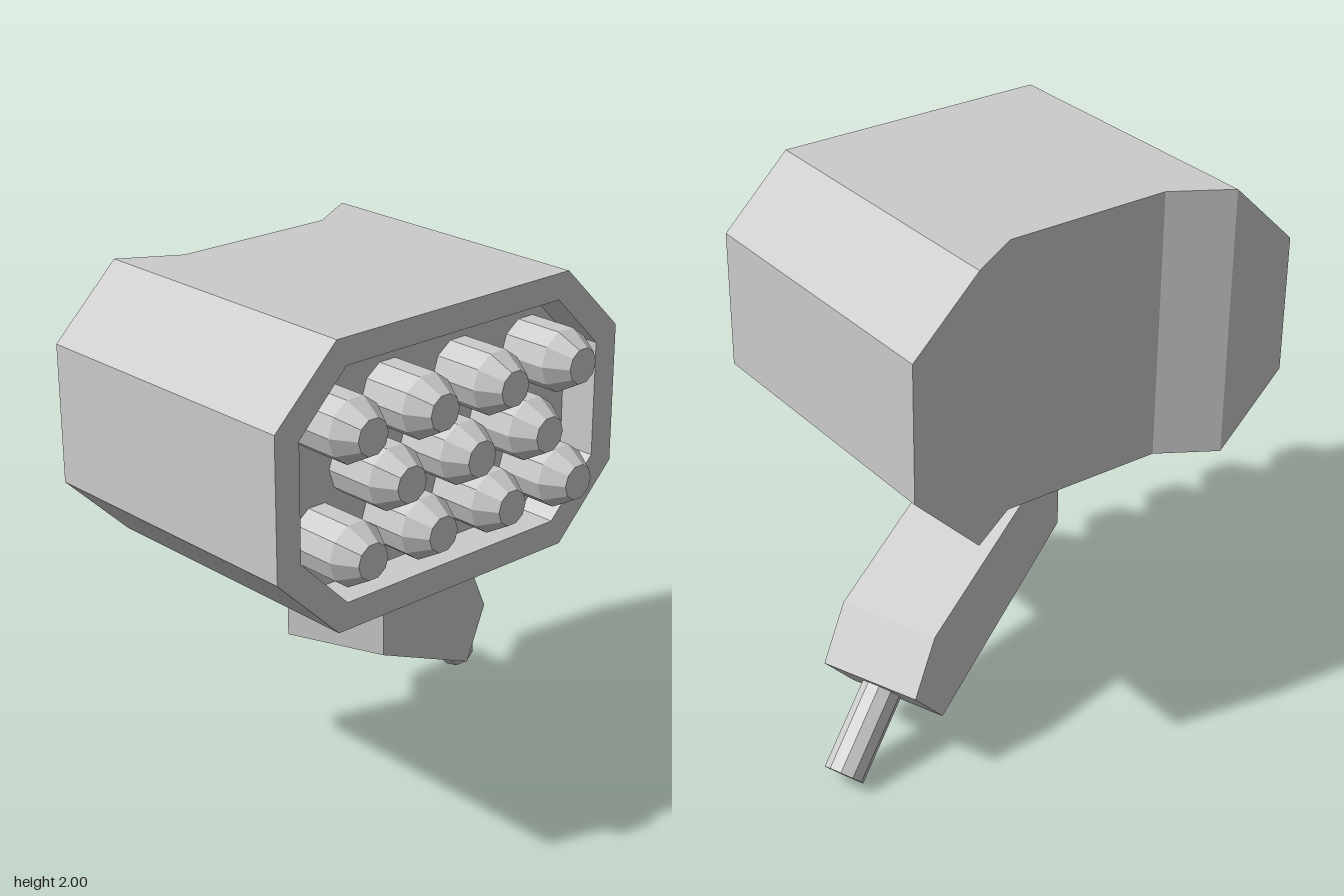
import * as THREE from 'three';

const material = new THREE.MeshStandardMaterial({ color: 0xcccccc, flatShading: true });

function add(parent, name, geometry, x = 0, y = 0, z = 0) {
  const mesh = new THREE.Mesh(geometry, material);
  mesh.name = name;
  mesh.position.set(x, y, z);
  parent.add(mesh);
  return mesh;
}

// Loop of six columns: along the top edge, then back along the bottom edge.
function ring(xs, [bottom, low, high, top], zs) {
  const end = (i) => i === 0 || i === 5;
  const upper = xs.map((x, i) => [x, end(i) ? high : top, zs[i]]);
  const lower = xs.map((x, i) => [x, end(i) ? low : bottom, zs[i]]);
  return [...upper, ...lower.reverse()];
}

// Chamfered housing with a recessed front and a notched back.
function housingGeometry(floorZ) {
  const outerX = [-0.9, -0.64, -0.43, 0.21, 0.42, 0.675];
  const innerX = [-0.8, -0.6, -0.43, 0.21, 0.375, 0.575];
  const outerY = [0.98, 1.235, 1.75, 2];
  const innerY = [1.08, 1.28, 1.705, 1.905];
  const level = (z) => Array(6).fill(z);
  const rings = [
    ring(innerX, innerY, level(floorZ)),
    ring(innerX, innerY, level(0.515)),
    ring(outerX, outerY, level(0.515)),
    ring(outerX, outerY, [-0.645, -0.645, -0.52, -0.52, -0.645, -0.645]),
  ];
  const positions = [];
  const quad = (a, b, c, d) => positions.push(...a, ...b, ...c, ...a, ...c, ...d);
  for (let r = 0; r < 3; r++) {
    for (let j = 0; j < 12; j++) {
      const k = (j + 1) % 12;
      quad(rings[r][j], rings[r][k], rings[r + 1][k], rings[r + 1][j]);
    }
  }
  // Recess floor and back face, in vertical strips
  const floor = rings[0], back = rings[3];
  for (let i = 0; i < 5; i++) {
    quad(floor[i], floor[11 - i], floor[10 - i], floor[i + 1]);
    quad(back[i], back[i + 1], back[10 - i], back[11 - i]);
  }
  const geometry = new THREE.BufferGeometry();
  geometry.setAttribute('position', new THREE.Float32BufferAttribute(positions, 3));
  geometry.computeVertexNormals();
  return geometry;
}

export function createModel() {
  const model = new THREE.Group();
  model.name = 'launcherPod';

  const floorZ = 0.365;
  add(model, 'housing', housingGeometry(floorZ));

  // Tapered tips in three staggered rows
  const profile = [[0.115, floorZ], [0.115, 0.555], [0.065, 0.64], [0, 0.64]]
    .map(([r, z]) => new THREE.Vector2(r, z));
  const tip = new THREE.LatheGeometry(profile, 10, Math.PI / 2).rotateX(Math.PI / 2);
  const tips = new THREE.Group();
  tips.name = 'tips';
  model.add(tips);
  const wide = [-0.6, -0.285, 0.04, 0.37];
  const rows = [[1.7, wide], [1.49, [-0.43, -0.11, 0.215]], [1.27, wide]];
  for (const [y, xs] of rows) for (const x of xs) add(tips, 'tip', tip, x, y, 0);

  // Tapered mounting plate and swivel post
  const plate = new THREE.CylinderGeometry(Math.SQRT1_2, Math.SQRT1_2 * 0.82, 0.075, 4, 1, false, Math.PI / 4);
  plate.scale(0.865, 1, 0.76);
  add(model, 'mountingPlate', plate, -0.1125, 0.9425, -0.047);
  add(model, 'swivelPost', new THREE.CylinderGeometry(0.075, 0.075, 0.11, 12), -0.07, 0.86, -0.06);

  // Angled arm, turned about the vertical
  const arm = new THREE.Group();
  arm.name = 'arm';
  arm.position.set(-0.115, 0, 0.165);
  arm.rotation.y = 0.38;
  model.add(arm);
  const outline = [[0, 0.58], [0.781, 0.185], [0.948, 0.365], [0.824, 0.555], [0.22, 0.82], [0, 0.82]]
    .map(([x, y]) => new THREE.Vector2(x, y));
  const width = 0.39;
  add(arm, 'armBody', new THREE.ExtrudeGeometry(new THREE.Shape(outline), { depth: width, bevelEnabled: false }), 0, 0, -width);

  // Rod leaving the arm's lower end at a right angle
  const length = 0.38;
  const rod = add(arm, 'rod', new THREE.CylinderGeometry(0.075, 0.075, length, 10), 0.967, 0.181, -0.188);
  rod.rotation.z = Math.atan2(0.733, 0.68);

  return model;
}
